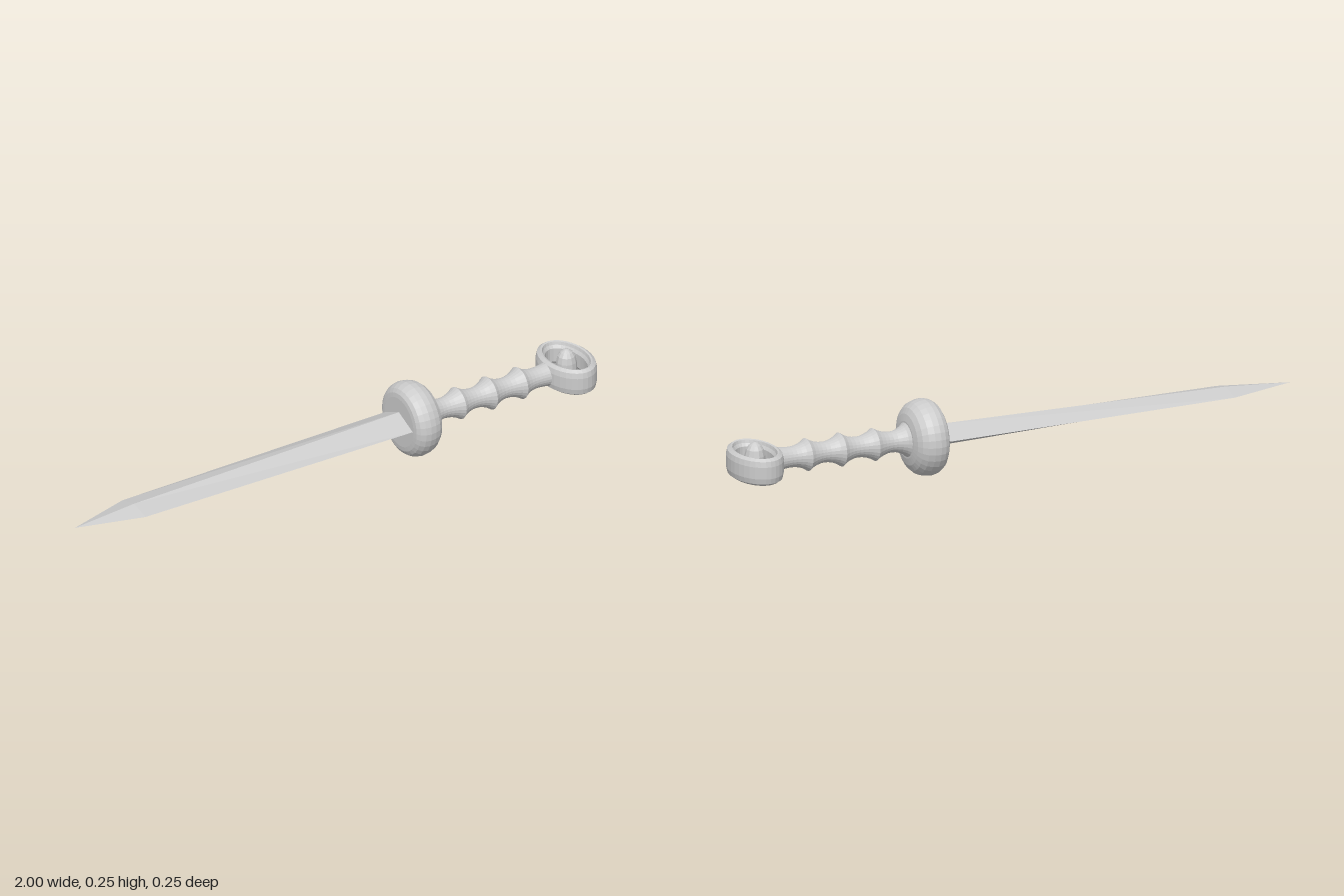
import * as THREE from 'three';

const AXIS_Y = 0.127;

function steel() {
  return new THREE.MeshStandardMaterial({ color: 0xcccccc, flatShading: true });
}

function part(name, geometry) {
  const mesh = new THREE.Mesh(geometry, steel());
  mesh.name = name;
  return mesh;
}

// Turned part along x, from [x, radius] pairs
function turned(profile, sides) {
  const points = profile.map(([x, r]) => new THREE.Vector2(r, x));
  return new THREE.LatheGeometry(points, sides).rotateZ(-Math.PI / 2);
}

// Diamond-section blade: [x, half thickness, half width] sections
function bladeGeometry() {
  const sections = [[-1, 0, 0], [-0.77, 0.018, 0.067], [0.28, 0.037, 0.081]];
  const positions = [];
  const corner = ([x, h, w], k) => {
    const a = (k % 4) * Math.PI / 2;
    return [x, h * Math.cos(a), w * Math.sin(a)];
  };
  for (let s = 0; s < 2; s++) {
    for (let k = 0; k < 4; k++) {
      const a = corner(sections[s], k), b = corner(sections[s + 1], k);
      const c = corner(sections[s + 1], k + 1), d = corner(sections[s], k + 1);
      positions.push(...a, ...c, ...b);
      if (s > 0) positions.push(...a, ...d, ...c);
    }
  }
  const g = new THREE.BufferGeometry();
  g.setAttribute('position', new THREE.Float32BufferAttribute(positions, 3));
  g.computeVertexNormals();
  return g;
}

// Grip with three sharp ridges and curved waists between them
function gripProfile() {
  const stops = [[0.37, 0.062], [0.49, 0.054], [0.61, 0.056], [0.73, 0.054], [0.85, 0.042]];
  const profile = [];
  for (let i = 0; i < stops.length - 1; i++) {
    const [x0, r0] = stops[i], [x1, r1] = stops[i + 1];
    for (let j = 0; j < 8; j++) {
      const t = j / 8;
      const edge = r0 + (r1 - r0) * t;
      const dip = Math.pow(Math.sin(Math.PI * t), 0.8);
      profile.push([x0 + (x1 - x0) * t, edge + (0.034 - edge) * dip]);
    }
  }
  profile.push(stops[stops.length - 1]);
  return profile;
}

// Oval ring: wall section of [inset, y] swept around an ellipse
function ringGeometry() {
  const section = [
    [0.015, -0.046], [0.004, -0.038], [0, -0.02], [0, 0.02], [0.004, 0.038], [0.015, 0.046],
    [0.021, 0.044], [0.024, 0.034], [0.031, 0.024],
    [0.031, -0.024], [0.024, -0.034], [0.021, -0.044], [0.015, -0.046],
  ];
  const g = new THREE.LatheGeometry(section.map(([d, y]) => new THREE.Vector2(1 - d, y)), 32);
  const p = g.attributes.position;
  for (let i = 0; i < p.count; i++) {
    const x = p.getX(i), z = p.getZ(i);
    const r = Math.hypot(x, z), inset = 1 - r;
    p.setX(i, x / r * (0.086 - inset));
    p.setZ(i, z / r * (0.125 - inset));
  }
  g.computeVertexNormals();
  return g;
}

export function createModel() {
  const sword = new THREE.Group();
  sword.name = 'shortSword';

  const guard = turned([
    [0.262, 0], [0.262, 0.085], [0.264, 0.1], [0.272, 0.113], [0.287, 0.123], [0.305, 0.127],
    [0.325, 0.125], [0.345, 0.118], [0.361, 0.104], [0.371, 0.085], [0.376, 0.062], [0.376, 0],
  ], 32);

  sword.add(
    part('blade', bladeGeometry()),
    part('guard', guard),
    part('grip', turned(gripProfile(), 24)),
  );

  // Pommel: oval ring around a pointed bead
  const pommel = new THREE.Group();
  pommel.name = 'pommel';
  pommel.position.x = 0.914;
  const bead = new THREE.LatheGeometry([
    [0, -0.056], [0.012, -0.052], [0.024, -0.043], [0.032, -0.025], [0.035, 0],
    [0.034, 0.025], [0.029, 0.046], [0.02, 0.059], [0.009, 0.067], [0, 0.07],
  ].map(([r, y]) => new THREE.Vector2(r, y)), 12);
  pommel.add(part('pommelRing', ringGeometry()), part('pommelBead', bead));
  sword.add(pommel);

  sword.position.y = AXIS_Y;
  const model = new THREE.Group();
  model.name = 'model';
  model.add(sword);
  return model;
}
